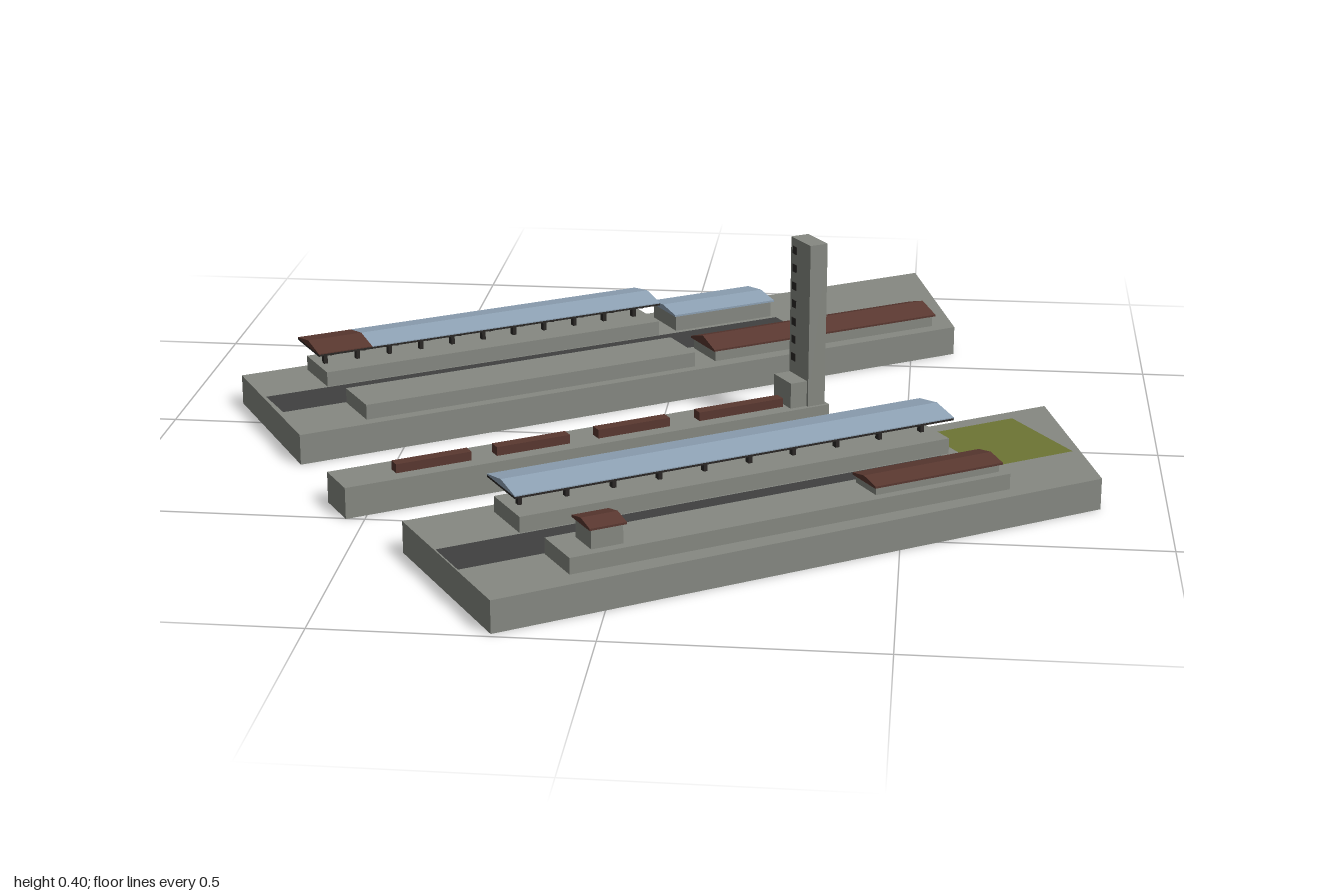
import * as THREE from 'three';

const mat = (name, color, side = THREE.FrontSide) => {
  const m = new THREE.MeshStandardMaterial({ color, side });
  m.name = name;
  return m;
};

export function createModel() {
  const concrete = mat('concrete', 0x868982);
  const shellConcrete = mat('shellConcrete', 0x868982, THREE.DoubleSide);
  const glassBlue = mat('roofBlue', 0x8fa3b6);
  const brown = mat('roofBrown', 0x5a3830);
  const road = mat('trackDark', 0x404040, THREE.DoubleSide);
  const steel = mat('steelBlack', 0x2a2725);
  const grass = mat('grass', 0x6d7534, THREE.DoubleSide);

  const SLAB = 0.062, DECK = 0.093;
  const root = new THREE.Group();
  root.name = 'station';
  // everything is laid out along the tracks (local x), then turned
  root.rotation.y = 0.57;

  const add = (name, geo, material, parent = root) => {
    const m = new THREE.Mesh(geo, material);
    m.name = name;
    parent.add(m);
    return m;
  };
  const rect = (u0, u1, v0, v1) => [[u0, v0], [u1, v0], [u1, v1], [u0, v1]];

  // box given by its limits
  const box = (name, material, [u0, u1], [y0, y1], [v0, v1], parent) => {
    const g = new THREE.BoxGeometry(u1 - u0, y1 - y0, v1 - v0);
    g.translate((u0 + u1) / 2, (y0 + y1) / 2, (v0 + v1) / 2);
    return add(name, g, material, parent);
  };

  // flat horizontal sheet with optional holes
  const sheet = (name, material, pts, y, holes = [], parent) => {
    const flat = (p) => p.map(([u, v]) => new THREE.Vector2(u, -v));
    const s = new THREE.Shape(flat(pts));
    s.holes = holes.map((h) => new THREE.Path(flat(h)));
    const g = new THREE.ShapeGeometry(s);
    g.rotateX(-Math.PI / 2);
    g.translate(0, y, 0);
    return add(name, g, material, parent);
  };

  // hollow shell: side walls and a top, open below
  const shell = (name, pts, y0, y1, holes = []) => {
    const group = new THREE.Group();
    group.name = name;
    root.add(group);
    sheet(name + 'Top', shellConcrete, pts, y1, holes, group);
    const pos = [];
    pts.forEach(([u, v], i) => {
      const [p, q] = pts[(i + 1) % pts.length];
      pos.push(u, y0, v, u, y1, v, p, y1, q, u, y0, v, p, y1, q, p, y0, q);
    });
    const g = new THREE.BufferGeometry();
    g.setAttribute('position', new THREE.Float32BufferAttribute(pos, 3));
    g.computeVertexNormals();
    add(name + 'Walls', g, shellConcrete, group);
  };

  // shallow gabled roof running along the tracks
  const gable = (name, material, [u0, u1], [v0, v1], eave, edge, ridge, parent) => {
    const w = (v1 - v0) / 2;
    const s = new THREE.Shape([
      [-w, eave], [w, eave], [w, edge], [0, ridge], [-w, edge],
    ].map(([x, y]) => new THREE.Vector2(x, y)));
    const g = new THREE.ExtrudeGeometry(s, { depth: u1 - u0, bevelEnabled: false });
    g.rotateY(Math.PI / 2);
    g.translate(u0, 0, (v0 + v1) / 2);
    return add(name, g, material, parent);
  };

  // walled building with a gabled roof
  const building = (name, material, [u0, u1], [v0, v1], y0, eave, ridge) => {
    const g = new THREE.Group();
    g.name = name;
    root.add(g);
    const i = 0.005;
    box(name + 'Walls', concrete, [u0 + i, u1 - i], [y0, eave], [v0 + i, v1 - i], g);
    gable(name + 'Roof', material, [u0, u1], [v0, v1], eave, eave + 0.004, ridge, g);
  };

  // open canopy: roof sections, dark frame, posts with cross arms
  const canopy = (name, sections, [v0, v1], bays) => {
    const g = new THREE.Group();
    g.name = name;
    root.add(g);
    const u0 = sections[0][0], u1 = sections[sections.length - 1][1];
    const mid = (v0 + v1) / 2;
    sections.forEach(([a, b, m]) => gable(name + 'Roof', m, [a, b], [v0, v1], 0.134, 0.136, 0.147, g));
    box(name + 'Frame', steel, [u0, u1], [0.13, 0.134], [v0, v1], g);
    for (let i = 0; i <= bays; i++) {
      const u = u0 + 0.035 + (u1 - u0 - 0.07) * i / bays;
      box('canopyPost', steel, [u - 0.004, u + 0.004], [DECK, 0.13], [mid - 0.006, mid + 0.006], g);
      box('canopyArm', steel, [u - 0.004, u + 0.004], [0.123, 0.13], [mid - 0.045, mid + 0.045], g);
    }
  };

  // north block
  const northDecks = [rect(-0.55, 0.215, -0.545, -0.424), rect(-0.55, 0.188, -0.314, -0.2)];
  const northTrack = rect(-0.684, 0.505, -0.421, -0.317);
  shell('northBase', [[-0.685, -0.572], [0.961, -0.572], [0.821, -0.182], [-0.7, -0.175]],
    0, SLAB, [...northDecks, northTrack]);
  northDecks.forEach((d) => shell('northPlatform', d, SLAB, DECK));
  sheet('northTrack', road, northTrack, SLAB);
  canopy('northCanopy', [[-0.567, -0.45, brown], [-0.45, 0.217, glassBlue]], [-0.547, -0.422], 10);
  building('northAnnex', glassBlue, [0.257, 0.503], [-0.547, -0.428], SLAB, 0.096, 0.108);
  building('northHall', brown, [0.237, 0.786], [-0.314, -0.206], SLAB, 0.085, 0.106);

  // south block
  const southDecks = [rect(-0.52, 0.385, 0.368, 0.483), rect(-0.52, 0.385, 0.591, 0.695)];
  const southTrack = rect(-0.684, 0.366, 0.486, 0.588);
  const lawn = rect(0.405, 0.606, 0.37, 0.58);
  shell('southBase', [[-0.687, 0.335], [0.705, 0.338], [0.571, 0.727], [-0.687, 0.735]],
    0, SLAB, [...southDecks, southTrack, lawn]);
  southDecks.forEach((d) => shell('southPlatform', d, SLAB, DECK));
  sheet('southTrack', road, southTrack, SLAB);
  sheet('lawn', grass, lawn, SLAB);
  canopy('southCanopy', [[-0.53, 0.392, glassBlue]], [0.362, 0.486], 9);
  building('southHall', brown, [0.1, 0.376], [0.6, 0.682], DECK, 0.108, 0.12);
  building('southKiosk', brown, [-0.475, -0.403], [0.608, 0.682], DECK, 0.13, 0.142);

  // middle island platform with low shelters
  shell('islandPlatform', rect(-0.722, 0.321, 0.039, 0.134), 0, SLAB);
  [[-0.53, 0.155], [-0.322, 0.155], [-0.105, 0.157], [0.135, 0.19]].forEach(([u, len]) =>
    box('islandShelter', brown, [u - len / 2, u + len / 2], [SLAB, 0.08], [0.081, 0.105]));

  // tower with slot windows on its two broad faces
  box('towerBase', concrete, [0.238, 0.277], [SLAB, 0.115], [0.052, 0.122]);
  box('tower', concrete, [0.275, 0.314], [SLAB, 0.4], [0.049, 0.127]);
  for (let i = 0; i < 7; i++) {
    const y = 0.15 + i * 0.0375;
    [0.275, 0.314].forEach((u) =>
      box('towerWindow', steel, [u - 0.001, u + 0.001], [y - 0.008, y + 0.008], [0.057, 0.073]));
  }

  const model = new THREE.Group();
  model.name = 'stationModel';
  model.add(root);
  return model;
}
